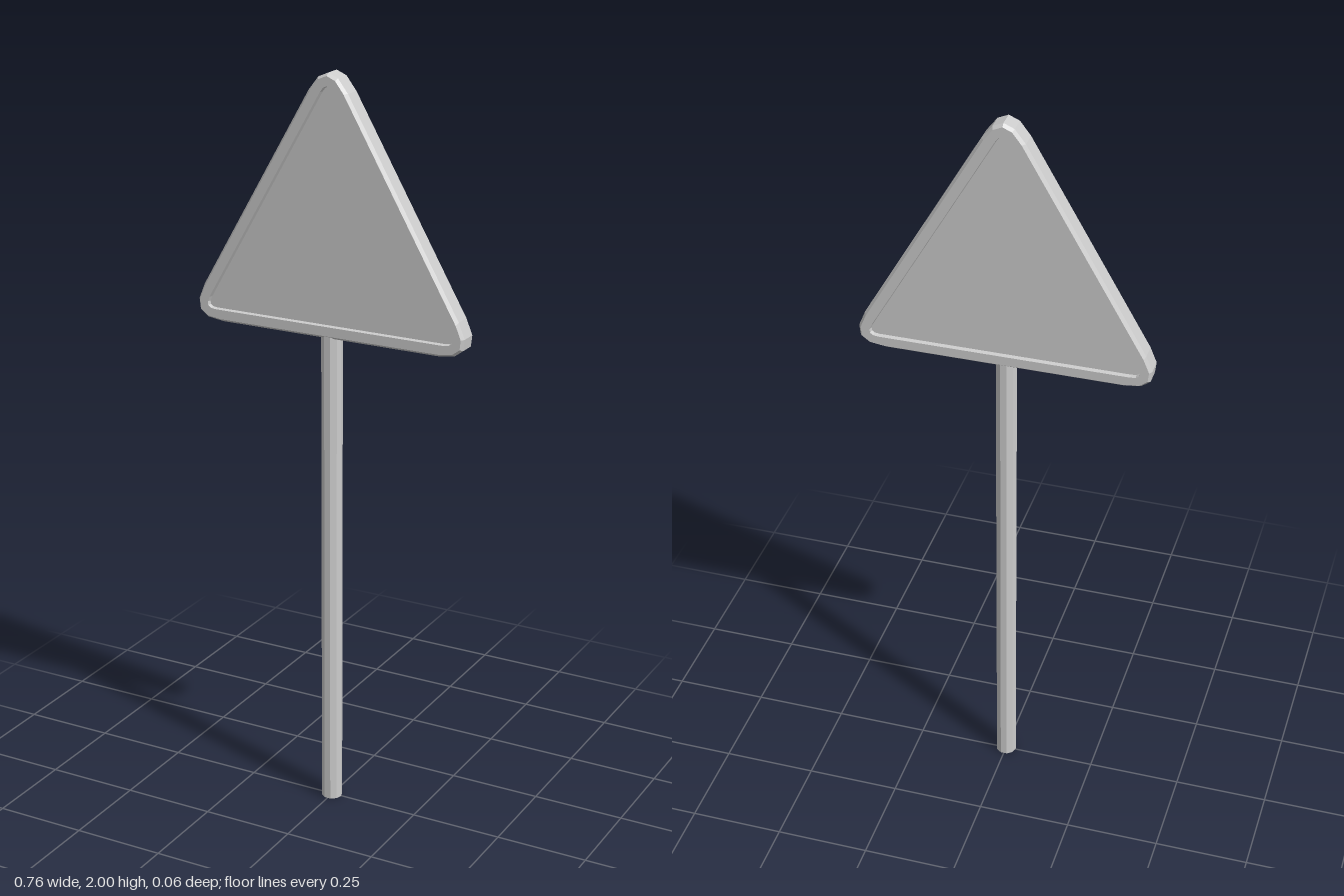
import * as THREE from 'three';

const CENTER_Y = 1.563; // centroid of the triangular plate
const RADIUS = 0.485; // centroid to sharp corner
const CORNER_STEPS = 4;

// Triangle with rounded corners, moved inwards by the given inset.
function outline(inset) {
  const radius = RADIUS - 2 * inset;
  const cut = 0.11 - 2.28 * inset;
  const corners = [90, 210, 330].map((deg) => {
    const a = THREE.MathUtils.degToRad(deg);
    return new THREE.Vector2(radius * Math.cos(a), radius * Math.sin(a));
  });
  return corners.flatMap((corner, i) => {
    const toward = (other) => other.clone().sub(corner).setLength(cut).add(corner);
    const curve = new THREE.QuadraticBezierCurve(
      toward(corners[(i + 2) % 3]), corner, toward(corners[(i + 1) % 3]));
    return curve.getPoints(CORNER_STEPS);
  });
}

// Closed solid through rings of [inset, z], listed from front to back.
function loftPlate(rings) {
  const positions = [];
  const index = [];
  const n = 3 * (CORNER_STEPS + 1);
  for (const [inset, z] of rings) {
    for (const p of outline(inset)) positions.push(p.x, p.y, z);
  }
  for (let r = 0; r < rings.length - 1; r++) {
    for (let j = 0; j < n; j++) {
      const k = (j + 1) % n;
      const a = r * n + j, b = r * n + k, c = b + n, d = a + n;
      index.push(a, d, b, b, d, c);
    }
  }
  // Front and back faces as fans
  const last = (rings.length - 1) * n;
  const front = rings.length * n;
  positions.push(0, 0, rings[0][1], 0, 0, rings[rings.length - 1][1]);
  for (let j = 0; j < n; j++) {
    const k = (j + 1) % n;
    index.push(front, j, k, front + 1, last + k, last + j);
  }
  const geometry = new THREE.BufferGeometry();
  geometry.setAttribute('position', new THREE.Float32BufferAttribute(positions, 3));
  geometry.setIndex(index);
  const flat = geometry.toNonIndexed();
  flat.computeVertexNormals();
  return flat;
}

export function createModel() {
  const model = new THREE.Group();
  model.name = 'triangularRoadSign';

  const grey = new THREE.MeshStandardMaterial({ color: 0xcccccc, flatShading: true });
  grey.name = 'light grey';

  // Sign plate: recessed face, raised rim and bevelled edge, the same on both sides
  const half = [[0.034, 0.02], [0.032, 0.031], [0.007, 0.031], [0, 0.022]];
  const back = half.map(([inset, z]) => [inset, -z]).reverse();
  const plate = new THREE.Mesh(loftPlate([...half, ...back]), grey);
  plate.name = 'signPlate';
  plate.position.y = CENTER_Y;
  model.add(plate);

  // Ten-sided post reaching into the lower rim
  const postHeight = 1.34;
  const post = new THREE.Mesh(
    new THREE.CylinderGeometry(0.028, 0.028, postHeight, 10), grey);
  post.name = 'post';
  post.rotation.y = Math.PI / 2;
  post.position.set(0, postHeight / 2, 0.002);
  model.add(post);

  return model;
}
